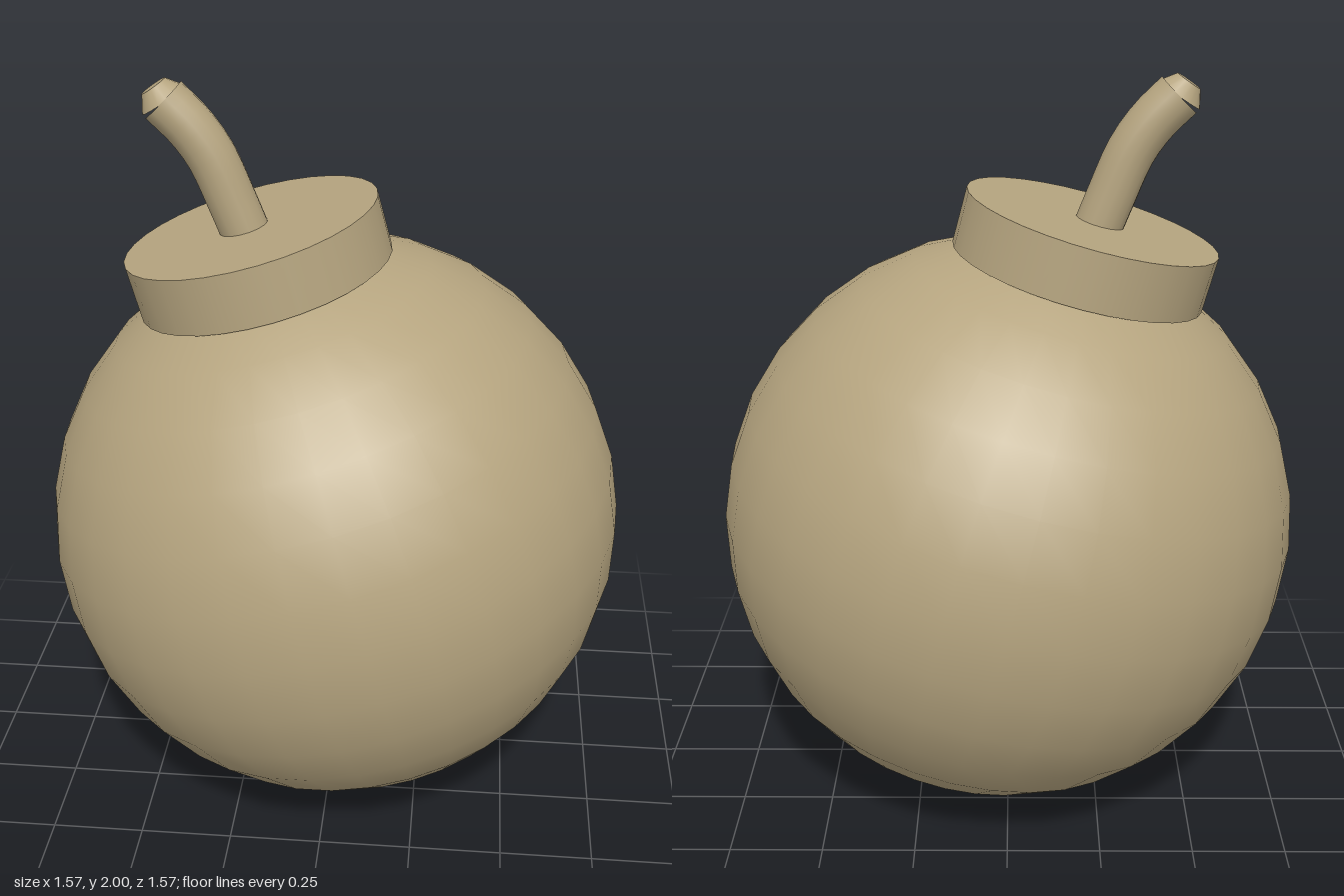
import * as THREE from 'three';

export function createModel() {
  const model = new THREE.Group();
  const material = new THREE.MeshStandardMaterial({ color: 0xb5a47f });
  const add = (name, geometry, parent) => {
    const mesh = new THREE.Mesh(geometry, material);
    mesh.name = name;
    parent.add(mesh);
    return mesh;
  };

  // Round body and its collar share one axis, leaning to the model's right
  const radius = 0.785;
  const leaning = new THREE.Group();
  leaning.name = 'leaningBody';
  leaning.position.y = radius;
  leaning.rotation.z = THREE.MathUtils.degToRad(15);
  model.add(leaning);
  add('body', new THREE.SphereGeometry(radius, 32, 16), leaning);

  // Flat collar, sunk slightly into the body
  const collar = add('collar', new THREE.CylinderGeometry(0.344, 0.344, 0.152, 32), leaning);
  collar.position.y = 0.788;

  // Bent fuse rising from the collar
  const path = new THREE.CatmullRomCurve3([
    [-0.22, 1.56], [-0.265, 1.675], [-0.32, 1.805], [-0.372, 1.88], [-0.437, 1.945],
  ].map(([x, y]) => new THREE.Vector3(x, y, 0)));
  const fuseRadius = 0.065;
  add('fuse', new THREE.TubeGeometry(path, 12, fuseRadius, 16), model);

  // Bevelled tip closing the fuse
  const tipHeight = 0.042;
  const direction = new THREE.Vector3(-0.56, 0.83, 0).normalize();
  const tip = add('fuseTip', new THREE.CylinderGeometry(0.036, fuseRadius, tipHeight, 16), model);
  tip.quaternion.setFromUnitVectors(new THREE.Vector3(0, 1, 0), direction);
  tip.position.copy(path.getPoint(1)).addScaledVector(direction, tipHeight / 2);

  return model;
}
